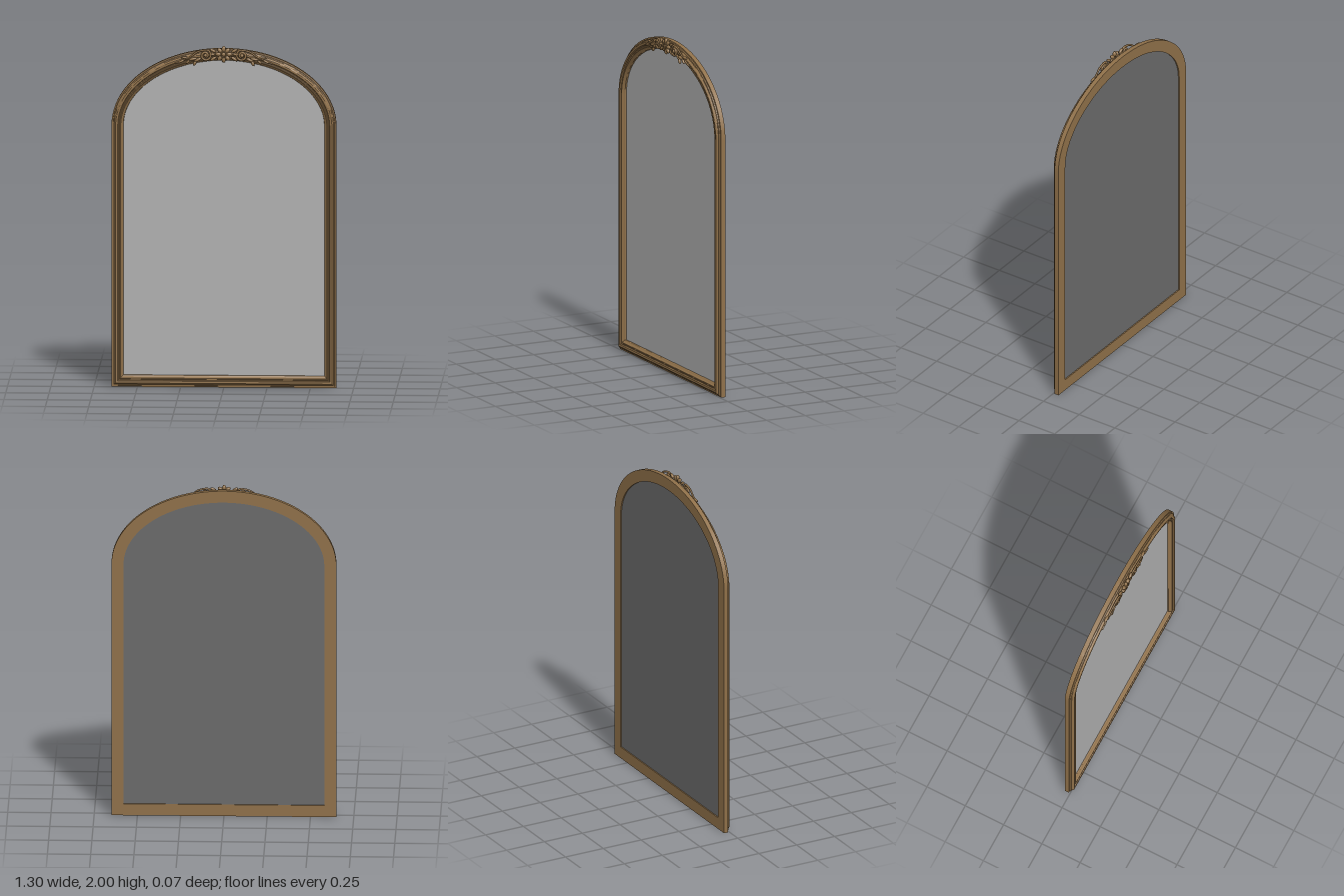
import * as THREE from 'three';
import { toCreasedNormals } from 'three/addons/utils/BufferGeometryUtils.js';

const W = 0.65, SPRING = 1.53, RISE = 0.45, ARC = 64;

const gilt = new THREE.MeshStandardMaterial({ color: 0x8f7049 });
gilt.name = 'antique gold';
const silver = new THREE.MeshStandardMaterial({ color: 0xb0b0b0 });
silver.name = 'mirror grey';
const backing = new THREE.MeshStandardMaterial({ color: 0x6a6a6a });
backing.name = 'backing grey';

// Arched outline, counter-clockwise, as point + inward offset direction
function outline() {
  const pts = [
    { p: [-W, 0], n: [1, 1] },
    { p: [W, 0], n: [-1, 1] },
  ];
  for (let i = 0; i <= ARC; i++) {
    const t = (Math.PI * i) / ARC, c = Math.cos(t), s = Math.sin(t);
    const n = new THREE.Vector2(-c / W, -s / RISE).normalize();
    pts.push({ p: [W * c, SPRING + RISE * s], n: [n.x, n.y] });
  }
  return pts;
}
const offset = ({ p, n }, d) => [p[0] + n[0] * d, p[1] + n[1] * d];

// Moulding cross-section: [distance inward from the edge, z]
const PROFILE = [
  [0, -0.035], [0, -0.008], [0.008, -0.007], [0.01, 0], [0.016, 0.002],
  [0.02, 0.01], [0.025, 0.014], [0.031, 0.015], [0.037, 0.013],
  [0.041, 0.006], [0.046, 0.006], [0.049, 0.009], [0.054, 0.009],
  [0.058, 0.003], [0.062, -0.002], [0.068, -0.006], [0.07, -0.016], [0.07, -0.035],
];

// Sweeps the closed cross-section round the outline, mitred at the corners
function mouldingGeometry() {
  const path = outline(), m = PROFILE.length, n = path.length;
  const pos = [], index = [];
  for (const q of path) for (const [d, z] of PROFILE) pos.push(...offset(q, d), z);
  for (let i = 0; i < n; i++) {
    const k = (i + 1) % n;
    for (let j = 0; j < m; j++) {
      const l = (j + 1) % m;
      const a = i * m + j, b = k * m + j, c = k * m + l, d = i * m + l;
      index.push(a, b, c, a, c, d);
    }
  }
  const g = new THREE.BufferGeometry();
  g.setAttribute('position', new THREE.Float32BufferAttribute(pos, 3));
  g.setIndex(index);
  return toCreasedNormals(g, 0.5);
}

function panelGeometry(inset) {
  return new THREE.ShapeGeometry(
    new THREE.Shape(outline().map((q) => new THREE.Vector2(...offset(q, inset)))));
}

// Tube whose radius runs from r0 to r1
function taperedTube(points, r0, r1) {
  const curve = new THREE.CatmullRomCurve3(points);
  const seg = 72, sides = 8;
  const g = new THREE.TubeGeometry(curve, seg, 1, sides, false);
  const pos = g.attributes.position, v = new THREE.Vector3();
  for (let i = 0; i <= seg; i++) {
    const c = curve.getPointAt(i / seg), r = THREE.MathUtils.lerp(r0, r1, i / seg);
    for (let j = 0; j <= sides; j++) {
      const k = i * (sides + 1) + j;
      v.fromBufferAttribute(pos, k).sub(c).multiplyScalar(r).add(c);
      pos.setXYZ(k, v.x, v.y, v.z);
    }
  }
  return g;
}

function add(parent, name, geometry, material) {
  const mesh = new THREE.Mesh(geometry, material);
  mesh.name = name;
  parent.add(mesh);
  return mesh;
}

// Flattened pod used for petals and leaves
function pod(parent, name, x, y, z, length, width, depth, angle) {
  const mesh = add(parent, name, new THREE.SphereGeometry(1, 14, 10), gilt);
  mesh.scale.set(length, width, depth);
  mesh.position.set(x, y, z);
  mesh.rotation.z = angle;
}

// Central rosette
function rosette() {
  const g = new THREE.Group();
  g.name = 'rosette';
  const cy = 1.951;
  for (let i = 0; i < 8; i++) {
    const a = Math.PI / 2 + (i * Math.PI) / 4;
    pod(g, 'petal', Math.cos(a) * 0.03, cy + Math.sin(a) * 0.03, 0.02, 0.019, 0.012, 0.011, a);
  }
  const ring = add(g, 'rosetteRing', new THREE.TorusGeometry(0.016, 0.004, 8, 24), gilt);
  ring.position.set(0, cy, 0.028);
  pod(g, 'rosetteHeart', 0, cy, 0.024, 0.012, 0.012, 0.011, 0);
  return g;
}

// Scroll and trailing leaves for one side (s = 1 or -1)
function scrollwork(s) {
  const g = new THREE.Group();
  g.name = s > 0 ? 'leftScrollwork' : 'rightScrollwork';
  const V = (x, y, z) => new THREE.Vector3(s * x, y, z);
  const pts = [];
  for (let i = 0; i <= 20; i++) {
    const u = i / 20, a = -1.2 + u * Math.PI * 2.9, r = 0.033 - 0.024 * u;
    pts.push(V(0.105 - Math.cos(a) * r, 1.944 - Math.sin(a) * r, 0.021));
  }
  pts.unshift(V(0.235, 1.915, 0.014), V(0.19, 1.938, 0.017), V(0.15, 1.965, 0.02));
  add(g, 'scroll', taperedTube(pts, 0.005, 0.008), gilt);
  pod(g, 'scrollEye', s * 0.105, 1.944, 0.021, 0.011, 0.011, 0.013, 0);
  // [x, y, length, width, angle]
  const leaves = [
    [0.062, 1.972, 0.02, 0.009, 0.5], [0.06, 1.925, 0.022, 0.009, -0.6],
    [0.07, 1.95, 0.018, 0.008, 0.1], [0.15, 1.918, 0.024, 0.009, -0.5],
    [0.168, 1.898, 0.016, 0.009, -1.1], [0.178, 1.922, 0.026, 0.008, -0.2],
    [0.205, 1.907, 0.02, 0.007, -0.8], [0.225, 1.93, 0.024, 0.007, -0.1],
    [0.245, 1.908, 0.024, 0.007, -0.5], [0.27, 1.899, 0.02, 0.005, -0.35],
  ];
  for (const [x, y, l, w, a] of leaves) {
    pod(g, 'leaf', s * x, y, x < 0.19 ? 0.018 : 0.013, l, w, 0.009, s * a);
  }
  return g;
}

export function createModel() {
  const model = new THREE.Group();
  model.name = 'archedMirror';
  add(model, 'frame', mouldingGeometry(), gilt);

  add(model, 'mirrorGlass', panelGeometry(0.069), silver).position.z = -0.014;
  const back = add(model, 'backPanel', panelGeometry(0.069), backing);
  back.rotation.y = Math.PI;
  back.position.z = -0.028;

  const crest = new THREE.Group();
  crest.name = 'crest';
  crest.add(rosette(), scrollwork(1), scrollwork(-1));
  model.add(crest);
  return model;
}
